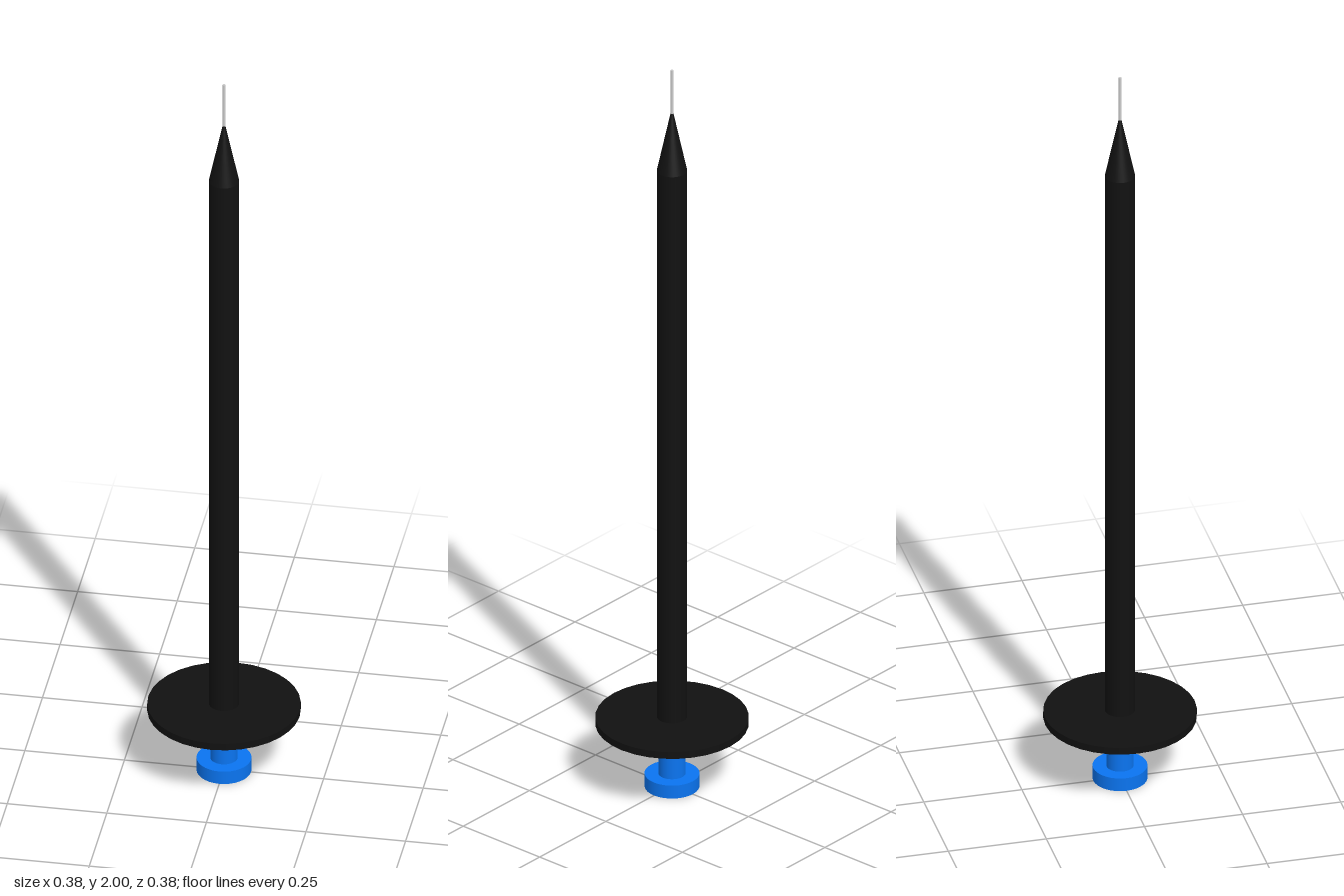
import * as THREE from 'three';

export function createModel() {
  const model = new THREE.Group();
  const black = new THREE.MeshStandardMaterial({ color: 0x111111 });
  const blue = new THREE.MeshStandardMaterial({ color: 0x0a74f0 });
  const grey = new THREE.MeshStandardMaterial({ color: 0xcccccc });

  // Upright round part between two heights
  function round(name, material, rBottom, rTop, y0, y1) {
    const mesh = new THREE.Mesh(new THREE.CylinderGeometry(rTop, rBottom, y1 - y0, 32), material);
    mesh.name = name;
    mesh.position.y = (y0 + y1) / 2;
    model.add(mesh);
  }

  // Plunger
  round('thumbPad', blue, 0.068, 0.068, 0, 0.036);
  round('plungerRod', blue, 0.034, 0.034, 0.036, 0.18);

  // Barrel with its finger flange
  round('fingerFlange', black, 0.19, 0.19, 0.175, 0.194);
  round('barrel', black, 0.0375, 0.0375, 0.194, 1.72);

  // Tapered tip and needle
  round('tip', black, 0.0375, 0.002, 1.72, 1.887);
  round('needle', grey, 0.0036, 0.0036, 1.87, 2);

  return model;
}
